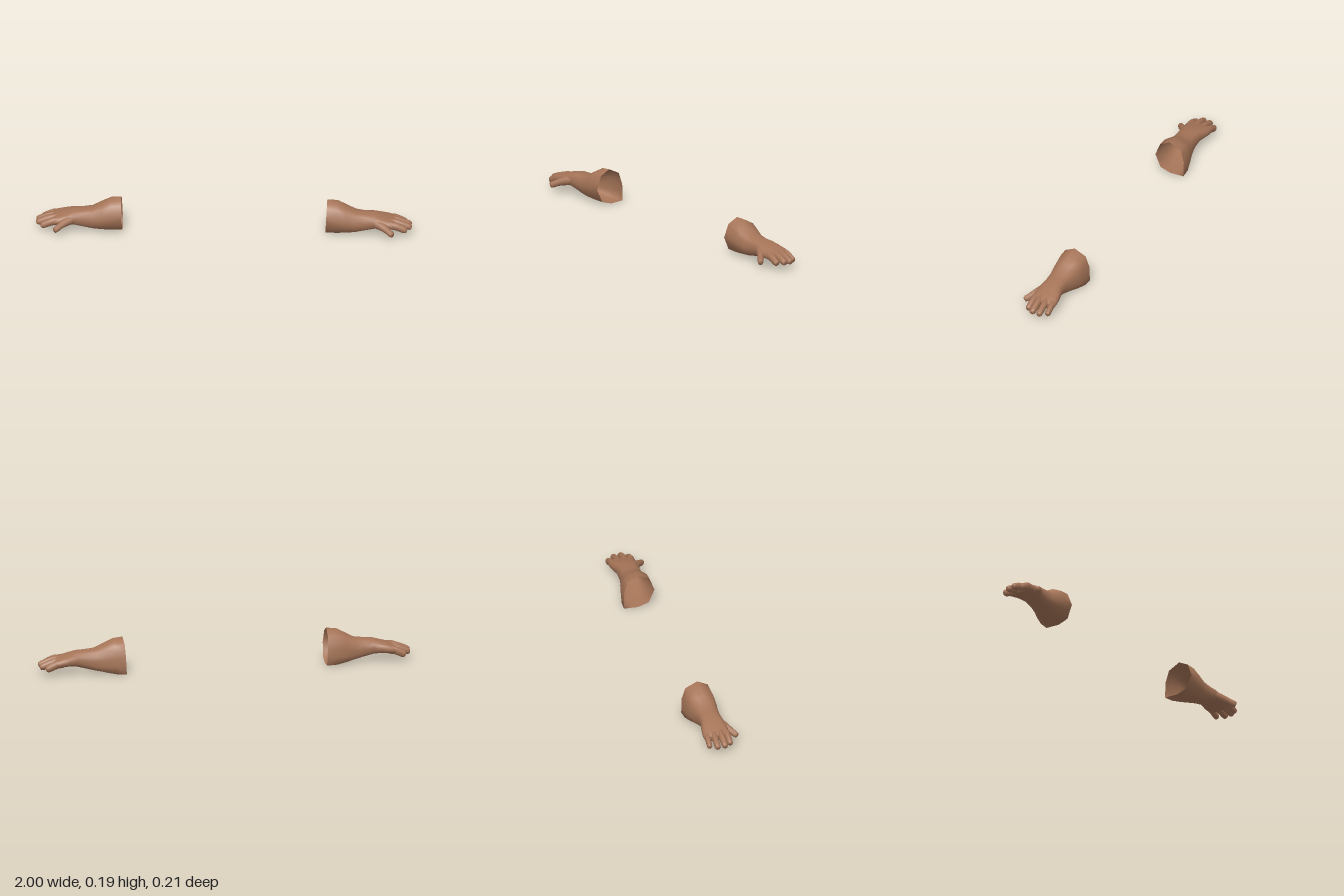
import * as THREE from 'three';

// Skin over closed cross-sections listed from elbow to fingertip; the far end is closed.
function loft(rings, mirror) {
  const n = rings[0].length, pos = [], index = [];
  for (const ring of rings) for (const p of ring) pos.push(mirror ? -p.x : p.x, p.y, p.z);
  const tri = (a, b, c) => (mirror ? index.push(a, c, b) : index.push(a, b, c));
  for (let i = 0; i < rings.length - 1; i++) {
    for (let j = 0; j < n; j++) {
      const k = (j + 1) % n, a = i * n, b = a + n;
      tri(a + j, b + j, a + k);
      tri(a + k, b + j, b + k);
    }
  }
  const last = rings[rings.length - 1];
  const c = last.reduce((s, p) => s.add(p), new THREE.Vector3()).divideScalar(n);
  pos.push(mirror ? -c.x : c.x, c.y, c.z);
  const base = (rings.length - 1) * n;
  for (let j = 0; j < n; j++) tri(base + j, rings.length * n, base + (j + 1) % n);
  const g = new THREE.BufferGeometry();
  g.setAttribute('position', new THREE.Float32BufferAttribute(pos, 3));
  g.setIndex(index);
  g.computeVertexNormals();
  return g;
}

// Angular elbow outline as [z, y], in a unit box
const ELBOW = [[1, -0.05], [0.69, 0.69], [0.01, 1], [-0.76, 0.66], [-1, -0.04], [-1, -0.97], [-0.08, -1], [0.62, -0.8]];
const SIDES = 16;

// Forearm, wrist and palm: x, z min, z max, y min, y max, roundness
const ARM = [
  [0.545, -0.108, 0.062, 0.002, 0.192, 0],
  [0.6, -0.108, 0.062, 0.002, 0.186, 0.15],
  [0.65, -0.097, 0.058, 0.007, 0.16, 0.4],
  [0.7, -0.082, 0.051, 0.015, 0.133, 0.7],
  [0.75, -0.073, 0.046, 0.027, 0.125, 0.9],
  [0.8, -0.075, 0.047, 0.04, 0.121, 1],
  [0.84, -0.085, 0.052, 0.045, 0.109, 1],
  [0.88, -0.091, 0.055, 0.043, 0.098, 1],
  [0.91, -0.09, 0.054, 0.042, 0.087, 1],
  [0.922, -0.083, 0.047, 0.046, 0.08, 1],
];

function armRings() {
  return ARM.map(([x, z0, z1, y0, y1, round]) => Array.from({ length: SIDES }, (_, j) => {
    const a = ELBOW[j >> 1], b = ELBOW[((j + 1) >> 1) % 8];
    const t = (j / SIDES) * Math.PI * 2;
    const soft = (v) => Math.sign(v) * Math.abs(v) ** 0.75;
    const u = THREE.MathUtils.lerp((a[0] + b[0]) / 2, soft(Math.cos(t)), round);
    const v = THREE.MathUtils.lerp((a[1] + b[1]) / 2, soft(Math.sin(t)), round);
    const y = (y0 + y1) / 2 + v * (y1 - y0) / 2;
    // the cut at the elbow leans slightly
    const lean = (1 - round) * 0.05 * (y - 0.1);
    return new THREE.Vector3(x + lean, y, (z0 + z1) / 2 + u * (z1 - z0) / 2);
  }));
}

// Finger sections: x, y, z, half width, half height
function fingerRings(path) {
  const pts = path.map(([x, y, z]) => new THREE.Vector3(x, y, z));
  return path.map(([, , , w, h], i) => {
    const d = pts[Math.min(i + 1, pts.length - 1)].clone().sub(pts[Math.max(i - 1, 0)]).normalize();
    const side = d.clone().cross(new THREE.Vector3(0, 1, 0)).normalize();
    const up = side.clone().cross(d);
    return Array.from({ length: 10 }, (_, j) => {
      const t = (j / 10) * Math.PI * 2;
      return pts[i].clone().addScaledVector(side, w * Math.cos(t)).addScaledVector(up, h * Math.sin(t));
    });
  });
}

// Fingers: name, z at knuckle, z at tip, half width, tip x, knuckle height
const FINGERS = [
  ['indexFinger', 0.036, 0.039, 0.0175, 0.975, 0.072],
  ['middleFinger', 0.002, 0.004, 0.0185, 0.999, 0.075],
  ['ringFinger', -0.034, -0.036, 0.018, 0.997, 0.072],
  ['littleFinger', -0.069, -0.074, 0.016, 0.97, 0.068],
];

function fingerPath([, z0, z1, w, tip, y0]) {
  const start = 0.875;
  return [
    [0, 0, 0.9, 0.021],
    [0.35, 0.003, 1, 0.022],
    [0.6, 0.012, 0.96, 0.021],
    [0.84, 0.023, 0.93, 0.0195],
    [0.95, 0.027, 0.85, 0.0165],
    [1, 0.029, 0.6, 0.011],
  ].map(([t, drop, k, h]) => [start + (tip - start) * t, y0 - drop, z0 + (z1 - z0) * t, w * k, h]);
}

const THUMB = [
  [0.79, 0.08, 0.022, 0.02, 0.024],
  [0.83, 0.073, 0.04, 0.023, 0.025],
  [0.856, 0.065, 0.058, 0.02, 0.021],
  [0.876, 0.055, 0.076, 0.016, 0.018],
  [0.893, 0.046, 0.09, 0.016, 0.018],
  [0.901, 0.042, 0.097, 0.012, 0.014],
];

export function createModel() {
  const model = new THREE.Group();
  model.name = 'forearmsAndHands';
  const skin = new THREE.MeshStandardMaterial({ color: 0xa67558, side: THREE.DoubleSide });
  skin.name = 'skin';

  for (const side of ['left', 'right']) {
    const arm = new THREE.Group();
    arm.name = side + 'Arm';
    const add = (name, rings) => {
      const mesh = new THREE.Mesh(loft(rings, side === 'right'), skin);
      mesh.name = name;
      arm.add(mesh);
    };
    add('forearmAndPalm', armRings());
    for (const f of FINGERS) add(f[0], fingerRings(fingerPath(f)));
    add('thumb', fingerRings(THUMB));
    model.add(arm);
  }
  return model;
}
